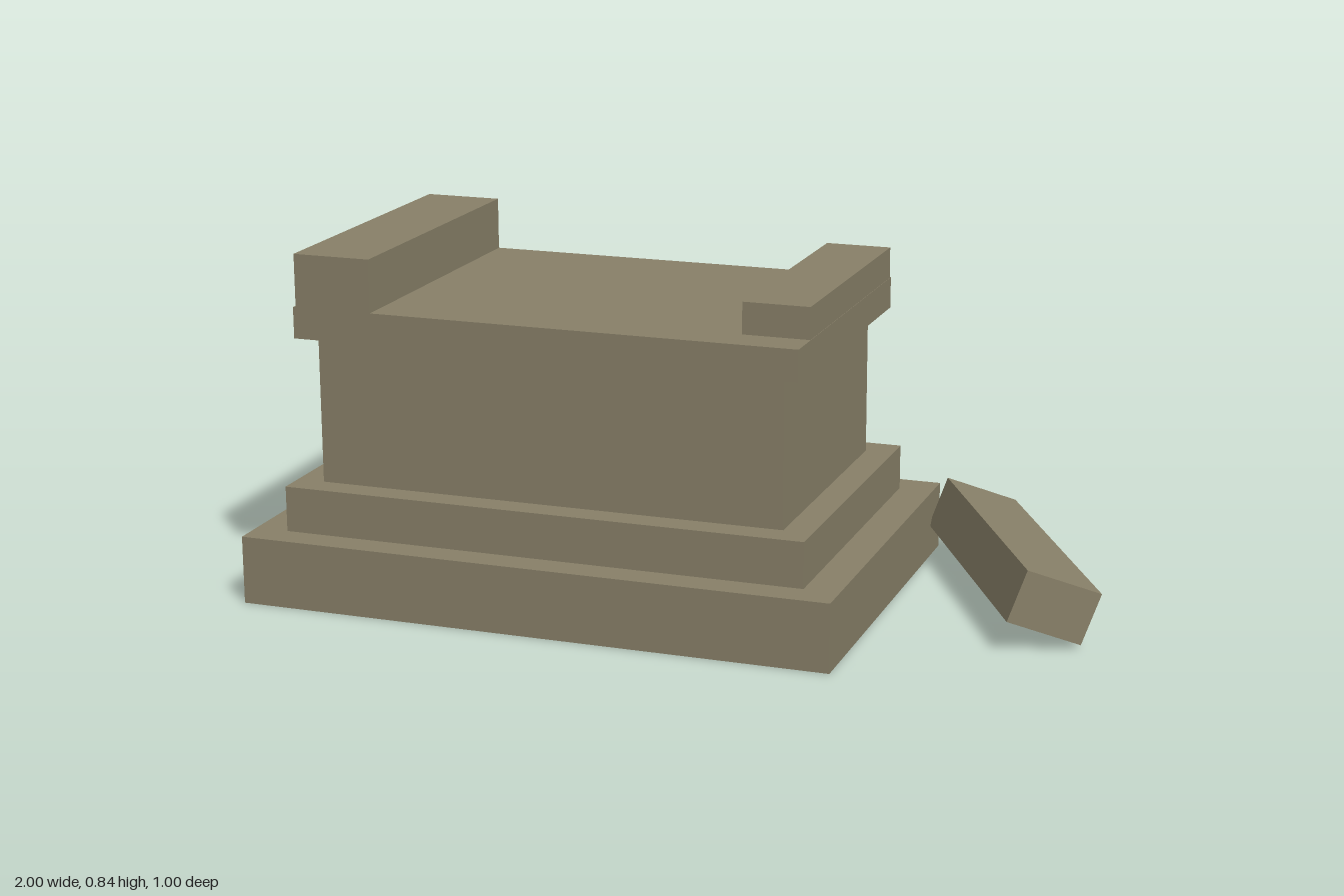
import * as THREE from 'three';

export function createModel() {
  const model = new THREE.Group();
  model.name = 'stonePedestal';
  const stone = new THREE.MeshStandardMaterial({ color: 0x898169 });
  stone.name = 'weathered stone';

  // Axis-aligned stone block given by its extents
  function block(name, x0, x1, y0, y1, z0, z1) {
    const mesh = new THREE.Mesh(new THREE.BoxGeometry(x1 - x0, y1 - y0, z1 - z0), stone);
    mesh.position.set((x0 + x1) / 2, (y0 + y1) / 2, (z0 + z1) / 2);
    mesh.name = name;
    model.add(mesh);
  }

  // Stepped pedestal
  block('basePlinth', -1, 0.46, 0, 0.166, -0.47, 0.497);
  block('upperStep', -0.918, 0.375, 0.166, 0.277, -0.395, 0.422);
  block('body', -0.85, 0.305, 0.277, 0.637, -0.325, 0.355);
  block('capSlab', -0.893, 0.35, 0.637, 0.713, -0.367, 0.395);

  // End bars on the cap; the one on the +x side is shorter, broken at the front
  block('tallEndBar', -0.886, -0.694, 0.713, 0.841, -0.367, 0.395);
  block('brokenEndBar', 0.188, 0.349, 0.713, 0.789, -0.36, 0.303);

  // Fallen fragment leaning against the base
  const fragment = new THREE.Mesh(new THREE.BoxGeometry(0.189, 0.129, 0.73), stone);
  fragment.name = 'fallenFragment';
  fragment.position.set(0.726, 0.105, -0.127);
  fragment.rotation.set(0, 0.5, -0.362, 'YXZ');
  model.add(fragment);

  return model;
}
